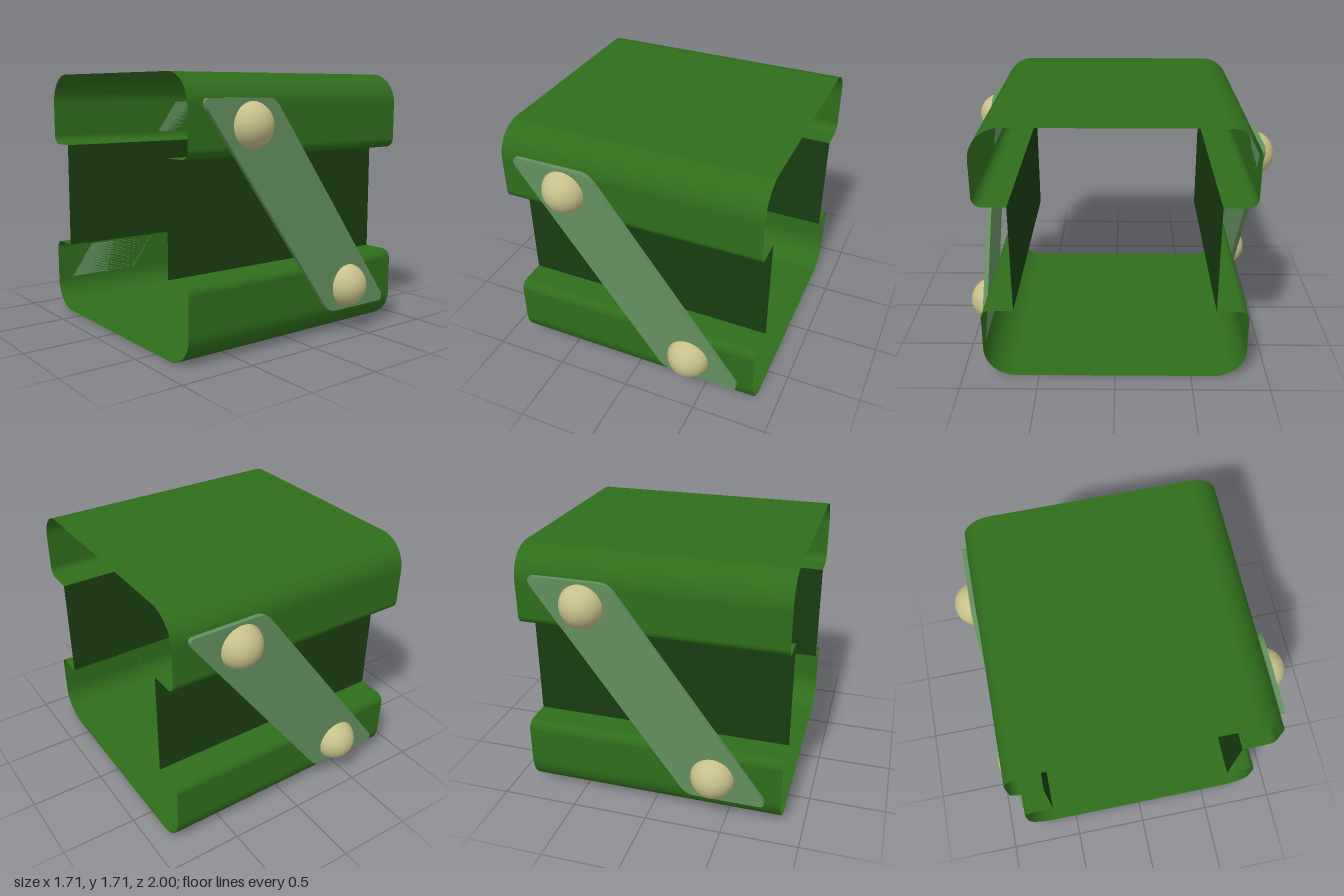
import * as THREE from 'three';

const H = 1.71, HALF = 0.855; // shell height and half width
const RECESS_Z = 0.645, LIP_Y = 1.215;

const mat = (color, side = THREE.FrontSide) => new THREE.MeshStandardMaterial({ color, side });

// Thin sheet: a (z, y) profile swept along x
function sweep(points) {
  const n = points.length;
  const geo = new THREE.PlaneGeometry(1, 1, n - 1, 1);
  const pos = geo.attributes.position;
  for (let row = 0; row < 2; row++) {
    points.forEach((p, i) => pos.setXYZ(row * n + i, row ? HALF : -HALF, p.y, p.x));
  }
  geo.computeVertexNormals();
  return geo;
}

// Upper half of the shell: lip, rounded lip edge, wall, big rounded corner, top
function shellProfile() {
  const R = 0.2, r = 0.06, P = Math.PI;
  const path = new THREE.Path();
  path.moveTo(RECESS_Z, LIP_Y);
  path.lineTo(HALF - r, LIP_Y);
  path.absarc(HALF - r, LIP_Y + r, r, -P / 2, 0);
  path.lineTo(HALF, H - R);
  path.absarc(HALF - R, H - R, R, 0, P / 2);
  path.lineTo(-HALF + R, H);
  path.absarc(-HALF + R, H - R, R, P / 2, P);
  path.lineTo(-HALF, LIP_Y + r);
  path.absarc(-HALF + r, LIP_Y + r, r, P, 1.5 * P);
  path.lineTo(-RECESS_Z, LIP_Y);
  return path.getPoints(12);
}

// Slanted strap outline with softened corners
function strapGeometry() {
  const s = new THREE.Shape();
  s.moveTo(-0.72, 1.56);
  s.lineTo(-0.3, 1.56);
  s.quadraticCurveTo(-0.235, 1.56, -0.19, 1.49);
  s.lineTo(0.74, 0.22);
  s.quadraticCurveTo(0.77, 0.16, 0.72, 0.16);
  s.lineTo(0.3, 0.16);
  s.quadraticCurveTo(0.235, 0.16, 0.19, 0.23);
  s.lineTo(-0.74, 1.5);
  s.quadraticCurveTo(-0.77, 1.56, -0.72, 1.56);
  return new THREE.ExtrudeGeometry(s, { depth: 0.03, bevelEnabled: false, curveSegments: 8 });
}

export function createModel() {
  const model = new THREE.Group();
  model.name = 'strappedCase';
  const green = mat(0x2f6d1b, THREE.DoubleSide);
  const darkGreen = mat(0x1a3c12, THREE.DoubleSide);
  const strapMat = mat(0x648f60);
  const studMat = mat(0xc8c08a);

  const add = (parent, name, geo, material, x = 0, y = 0, z = 0) => {
    const mesh = new THREE.Mesh(geo, material);
    mesh.name = name;
    mesh.position.set(x, y, z);
    parent.add(mesh);
    return mesh;
  };

  // Shell halves, the lower one turned over
  const shell = sweep(shellProfile());
  add(model, 'upperShell', shell, green);
  add(model, 'lowerShell', shell, green, 0, H).rotation.x = Math.PI;

  // Same side assembly front and back, turned half round
  const panel = new THREE.PlaneGeometry(2 * HALF, 2 * LIP_Y - H);
  const strap = strapGeometry();
  const stud = new THREE.SphereGeometry(0.145, 32, 12, 0, Math.PI * 2, 0, Math.PI / 2).rotateX(Math.PI / 2);
  for (const side of ['front', 'back']) {
    const group = new THREE.Group();
    group.name = side + 'Side';
    if (side === 'back') group.rotation.y = Math.PI;
    add(group, 'recessedPanel', panel, darkGreen, 0, H / 2, RECESS_Z);
    add(group, 'strap', strap, strapMat, 0, 0, HALF);
    add(group, 'upperStud', stud, studMat, -0.413, 1.4, HALF);
    add(group, 'lowerStud', stud, studMat, 0.413, 0.317, HALF);
    model.add(group);
  }
  return model;
}
